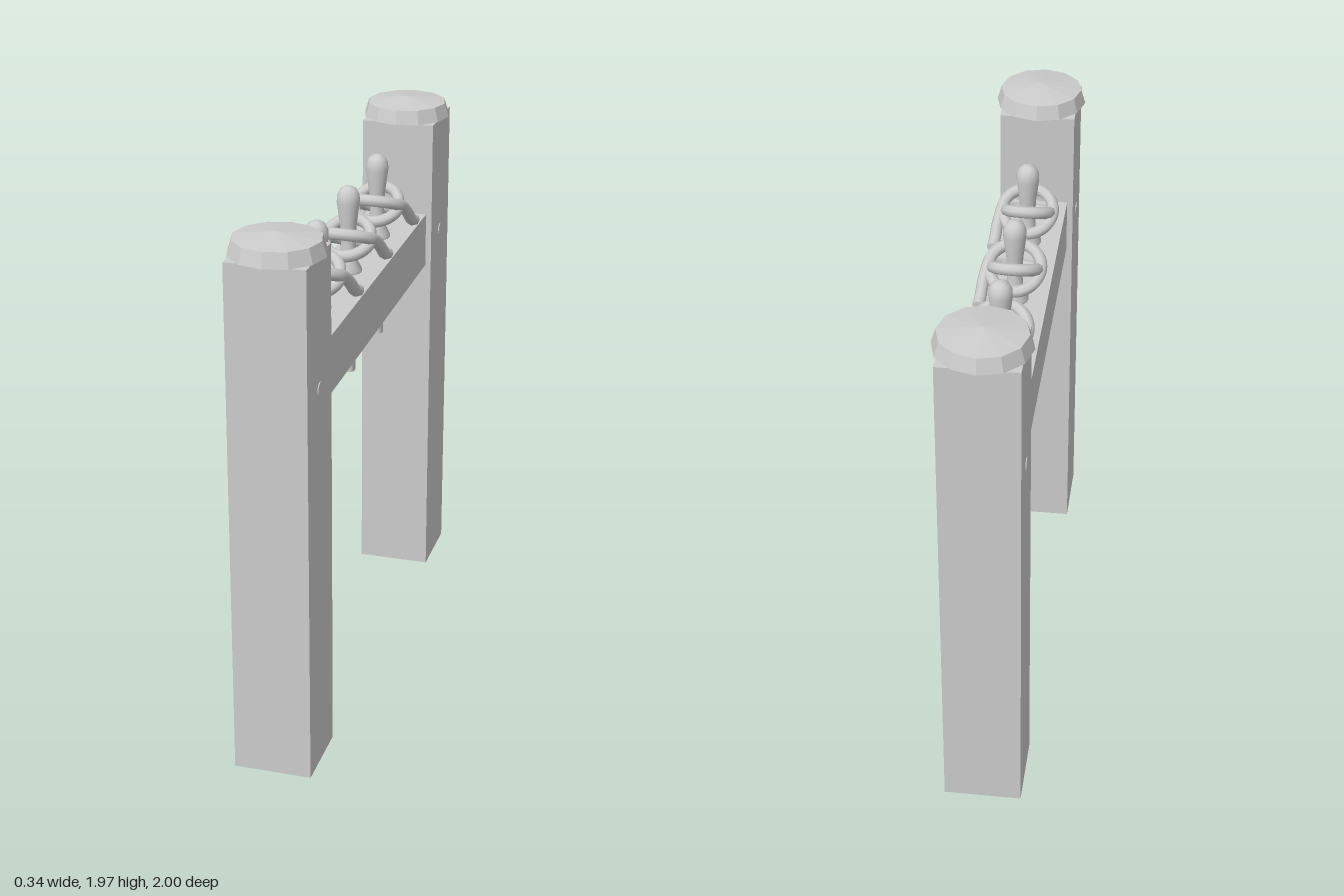
import * as THREE from 'three';
import { toCreasedNormals } from 'three/addons/utils/BufferGeometryUtils.js';

const grey = new THREE.MeshStandardMaterial({ color: 0xcccccc });
grey.name = 'grey';

function add(parent, name, geometry, x = 0, y = 0, z = 0) {
  const mesh = new THREE.Mesh(geometry, grey);
  mesh.name = name;
  mesh.position.set(x, y, z);
  parent.add(mesh);
  return mesh;
}

const lathe = (points, sides) =>
  new THREE.LatheGeometry(points.map(([r, y]) => new THREE.Vector2(r, y)), sides);

// Rope: two opposite tilted turns around the pin, then a loose tail
function ropeGeometry() {
  const points = [];
  const steps = 32;
  for (let i = 0; i <= steps; i++) {
    const angle = (i / steps) * Math.PI * 4;
    const radius = 0.08 + 0.018 * (i / steps);
    const tilt = i <= steps / 2 ? 0.043 : -0.043;
    points.push(new THREE.Vector3(
      radius * Math.cos(angle), 1.67 + tilt * Math.sin(angle), -radius * Math.sin(angle)));
  }
  points.push(
    new THREE.Vector3(0.108, 1.63, -0.045),
    new THREE.Vector3(0.113, 1.59, -0.085),
    new THREE.Vector3(0.116, 1.578, -0.12));
  return new THREE.TubeGeometry(new THREE.CatmullRomCurve3(points), 110, 0.022, 8, false);
}

export function createModel() {
  const model = new THREE.Group();
  model.name = 'pinRail';

  // Posts with faceted caps and a dowel through each
  const capGeometry = toCreasedNormals(lathe(
    [[0, 1.9], [0.168, 1.9], [0.152, 1.953], [0, 1.973]], 12), 0.05);
  for (const [side, z] of [['front', 0.832], ['back', -0.832]]) {
    const post = new THREE.Group();
    post.name = side + 'Post';
    post.position.z = z;
    model.add(post);
    add(post, 'postShaft', new THREE.BoxGeometry(0.28, 1.9, 0.276), 0, 0.95, 0);
    add(post, 'postCap', capGeometry);
    add(post, 'dowel', new THREE.CylinderGeometry(0.025, 0.025, 0.286, 12), 0, 1.435, 0)
      .rotation.z = Math.PI / 2;
  }

  // Cross rail
  add(model, 'rail', new THREE.BoxGeometry(0.236, 0.21, 1.4), 0, 1.435, 0);

  // Turned pins, each wrapped in rope
  const pinGeometry = toCreasedNormals(lathe([
    [0, 1.15], [0.026, 1.15], [0.026, 1.5], [0.05, 1.535], [0.05, 1.55], [0.032, 1.585],
    [0.027, 1.65], [0.031, 1.72], [0.042, 1.805], [0.041, 1.83], [0.031, 1.852],
    [0.016, 1.862], [0, 1.865]], 16), 0.8);
  const rope = ropeGeometry();
  // Flat cap on the rope's loose end
  const end = new THREE.CircleGeometry(0.022, 8);
  end.rotateY(Math.PI);
  for (const z of [0.395, 0, -0.395]) {
    const pin = new THREE.Group();
    pin.name = 'pinWithRope';
    pin.position.z = z;
    model.add(pin);
    add(pin, 'pin', pinGeometry);
    add(pin, 'rope', rope);
    add(pin, 'ropeEnd', end, 0.116, 1.578, -0.12);
  }
  return model;
}
